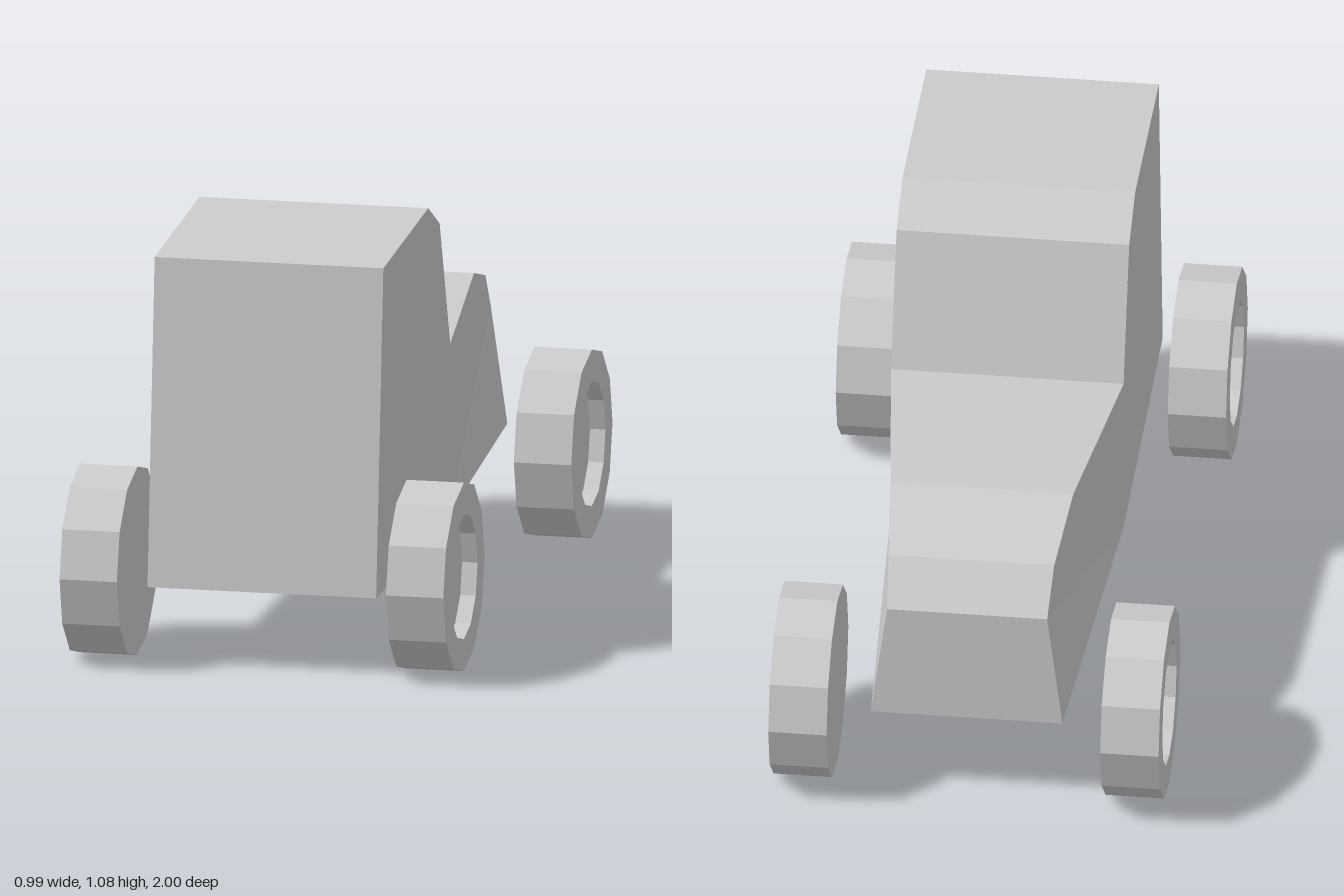
import * as THREE from 'three';

const grey = new THREE.MeshStandardMaterial({ color: 0xcccccc, flatShading: true });

// Side outline as [z, y, half width], from the lower front edge over the roof to the tail.
// The last point is the underside below the windscreen foot, where the taper begins.
const outline = [
  [0.895, 0.21, 0.295], [0.81, 1.045, 0.295], [0.28, 1.08, 0.295], [0.145, 1.01, 0.295],
  [0.02, 0.67, 0.295], [-0.55, 0.72, 0.232], [-0.785, 0.66, 0.21], [-0.88, 0.56, 0.203],
  [-0.893, 0.253, 0.243], [0.02, 0.232, 0.295],
];

function bodyGeometry() {
  const positions = [];
  const index = [];
  const n = outline.length;
  // even vertices lie on the -x side, odd ones on the +x side
  for (const [z, y, w] of outline) positions.push(-w, y, z, w, y, z);
  // skin across the width
  for (let i = 0; i < n; i++) {
    const a = 2 * i, b = 2 * ((i + 1) % n);
    index.push(a, a + 1, b + 1, a, b + 1, b);
  }
  // both flanks, fanned from the underside point
  const hub = 2 * (n - 1);
  for (let i = 0; i < n - 2; i++) {
    const a = 2 * i, b = a + 2;
    index.push(hub, a, b, hub + 1, b + 1, a + 1);
  }
  const geometry = new THREE.BufferGeometry();
  geometry.setAttribute('position', new THREE.Float32BufferAttribute(positions, 3));
  geometry.setIndex(index);
  const flat = geometry.toNonIndexed();
  flat.computeVertexNormals();
  return flat;
}

// Twelve-sided wheel with a recessed outer face pointing to +x
function wheelGeometry() {
  const profile = [
    [0, 0], [0.244, 0], [0.244, 0.148], [0.161, 0.148], [0.161, 0.108], [0, 0.108],
  ].map(([r, h]) => new THREE.Vector2(r, h));
  return new THREE.LatheGeometry(profile, 12).rotateZ(-Math.PI / 2);
}

export function createModel() {
  const model = new THREE.Group();
  model.name = 'car';

  const body = new THREE.Mesh(bodyGeometry(), grey);
  body.name = 'body';
  body.position.x = 0.004;
  model.add(body);

  const wheel = wheelGeometry();
  for (const [end, z] of [['front', 0.756], ['rear', -0.756]]) {
    for (const [side, sign] of [['Left', 1], ['Right', -1]]) {
      const mesh = new THREE.Mesh(wheel, grey);
      mesh.name = `${end}${side}Wheel`;
      mesh.position.set(sign * 0.347, 0.244, z);
      if (sign < 0) mesh.rotation.y = Math.PI;
      model.add(mesh);
    }
  }
  return model;
}
